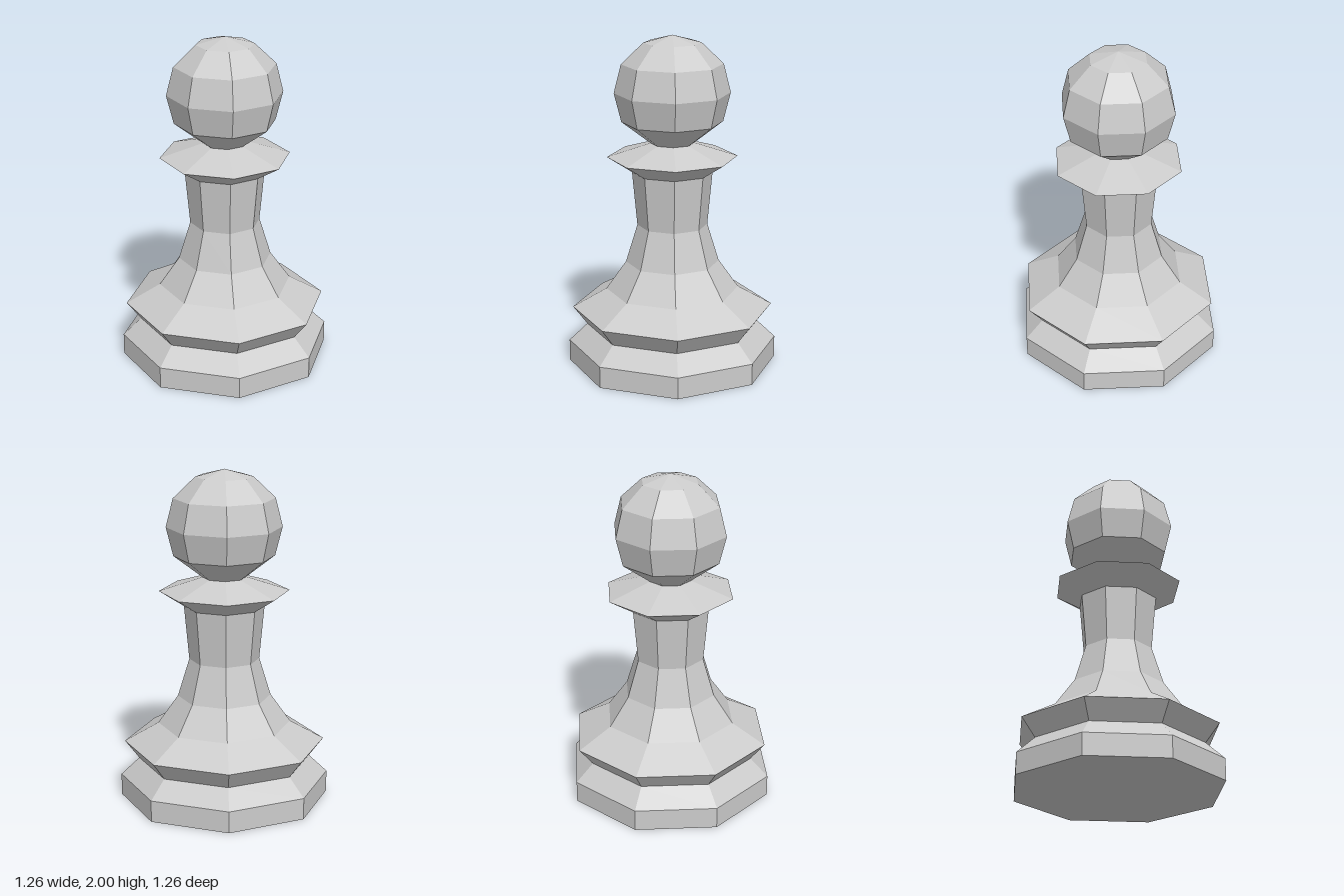
import * as THREE from 'three';

const SIDES = 8;

export function createModel() {
  const group = new THREE.Group();
  const material = new THREE.MeshStandardMaterial({
    color: 0xcccccc, flatShading: true, side: THREE.DoubleSide,
  });

  // Stacked octagonal turnings, each a [radius, height] profile from bottom to top
  const parts = {
    base: [[0, 0], [0.63, 0], [0.63, 0.13], [0.52, 0.235]],
    skirt: [[0.52, 0.235], [0.605, 0.345], [0.4, 0.46]],
    stem: [[0.4, 0.46], [0.28, 0.63], [0.21, 0.86], [0.24, 1.185]],
    collar: [[0.24, 1.185], [0.388, 1.278], [0.13, 1.36]],
    head: [[0.13, 1.36], [0.3, 1.488], [0.343, 1.66], [0.3, 1.83], [0.17, 1.955], [0, 2]],
  };

  for (const [name, profile] of Object.entries(parts)) {
    const points = profile.map(([r, y]) => new THREE.Vector2(r, y));
    const mesh = new THREE.Mesh(new THREE.LatheGeometry(points, SIDES), material);
    mesh.name = name;
    group.add(mesh);
  }

  group.name = 'pawn';
  return group;
}
